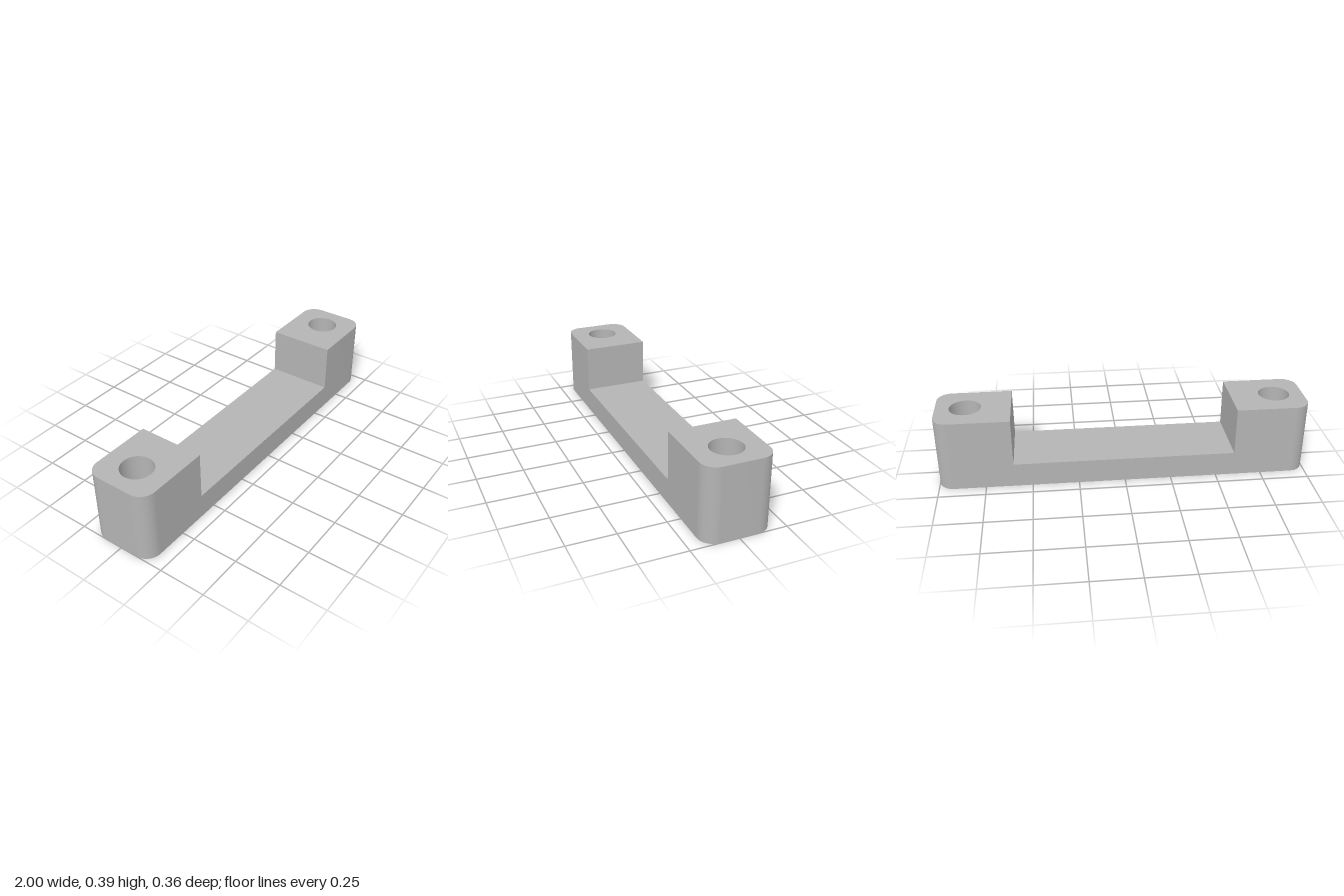
import * as THREE from 'three';
import { toCreasedNormals } from 'three/addons/utils/BufferGeometryUtils.js';

const HALF_LENGTH = 1, HALF_DEPTH = 0.18, HEIGHT = 0.393;
const INNER = 0.597, BRIDGE_HEIGHT = 0.133;
const CORNER = 0.08, HOLE_X = 0.84, HOLE_RADIUS = 0.085;

// End block: square inner side, rounded outer corners, vertical bolt hole
function endBlockGeometry() {
  const shape = new THREE.Shape();
  shape.moveTo(INNER, -HALF_DEPTH);
  shape.lineTo(HALF_LENGTH - CORNER, -HALF_DEPTH);
  shape.absarc(HALF_LENGTH - CORNER, -HALF_DEPTH + CORNER, CORNER, -Math.PI / 2, 0, false);
  shape.absarc(HALF_LENGTH - CORNER, HALF_DEPTH - CORNER, CORNER, 0, Math.PI / 2, false);
  shape.lineTo(INNER, HALF_DEPTH);
  shape.closePath();

  const hole = new THREE.Path();
  hole.absarc(HOLE_X, 0, HOLE_RADIUS, 0, Math.PI * 2, true);
  shape.holes.push(hole);

  const geometry = new THREE.ExtrudeGeometry(shape, { depth: HEIGHT, bevelEnabled: false, curveSegments: 24 });
  geometry.rotateX(-Math.PI / 2);
  return toCreasedNormals(geometry, 0.6);
}

export function createModel() {
  const group = new THREE.Group();
  group.name = 'handleBracket';
  const grey = new THREE.MeshStandardMaterial({ color: 0xb4b4b4 });
  grey.name = 'plain grey';

  // Matching blocks at both ends
  const geometry = endBlockGeometry();
  for (const [name, turn] of [['leftEndBlock', 0], ['rightEndBlock', Math.PI]]) {
    const block = new THREE.Mesh(geometry, grey);
    block.name = name;
    block.rotation.y = turn;
    group.add(block);
  }

  // Low bar joining the blocks
  const bridge = new THREE.Mesh(new THREE.BoxGeometry(INNER * 2, BRIDGE_HEIGHT, HALF_DEPTH * 2), grey);
  bridge.name = 'bridge';
  bridge.position.y = BRIDGE_HEIGHT / 2;
  group.add(bridge);

  return group;
}
